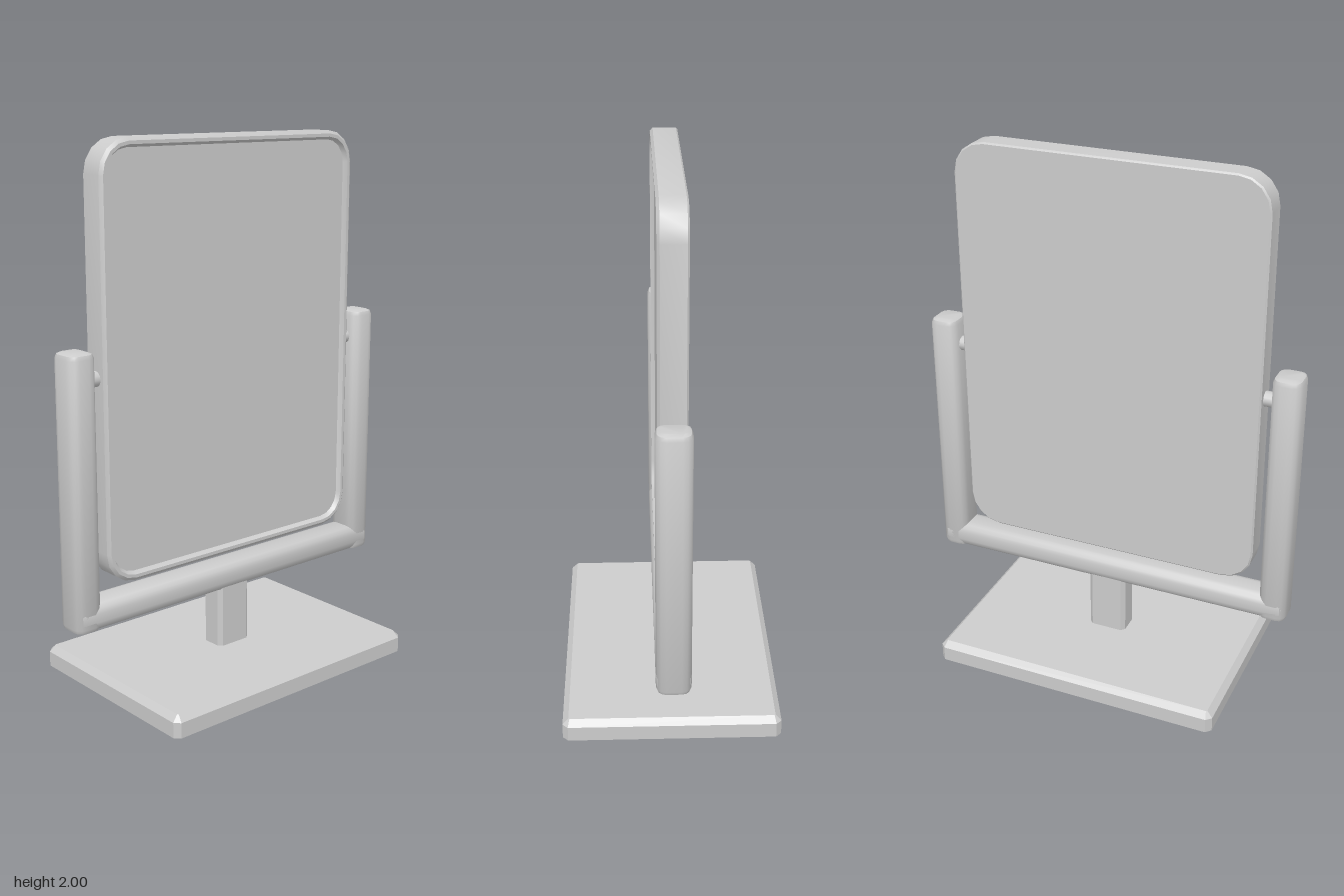
import * as THREE from 'three';
import { toCreasedNormals } from 'three/addons/utils/BufferGeometryUtils.js';

// Rounded rectangle cross-section at depth z, counter-clockwise
function ring(w, h, r, z, n) {
  const pts = [];
  [[1, 1], [-1, 1], [-1, -1], [1, -1]].forEach(([sx, sy], corner) => {
    for (let i = 0; i <= n; i++) {
      const a = (corner + i / n) * Math.PI / 2;
      pts.push([sx * (w / 2 - r) + r * Math.cos(a), sy * (h / 2 - r) + r * Math.sin(a), z]);
    }
  });
  return pts;
}

// Skin through cross-sections of increasing depth, with optional flat ends
function loft(rings, capStart, capEnd, crease = 0.45) {
  const n = rings[0].length, index = [];
  for (let k = 0; k < rings.length - 1; k++) {
    for (let i = 0; i < n; i++) {
      const a = k * n + i, b = k * n + (i + 1) % n;
      index.push(a, b, b + n, a, b + n, a + n);
    }
  }
  const last = (rings.length - 1) * n;
  for (let i = 1; i < n - 1; i++) {
    if (capStart) index.push(0, i + 1, i);
    if (capEnd) index.push(last, last + i, last + i + 1);
  }
  const g = new THREE.BufferGeometry();
  g.setAttribute('position', new THREE.Float32BufferAttribute(rings.flat(2), 3));
  g.setIndex(index);
  return toCreasedNormals(g, crease);
}

// Bar with softened long edges and bevelled ends
function softBar(w, h, from, to) {
  const r = 0.035, b = 0.02;
  return loft([
    ring(w - 2 * b, h - 2 * b, r - b, from, 3),
    ring(w - 0.012, h - 0.012, r - 0.006, from + 0.006, 3),
    ring(w, h, r, from + b, 3),
    ring(w, h, r, to - b, 3),
    ring(w - 0.012, h - 0.012, r - 0.006, to - 0.006, 3),
    ring(w - 2 * b, h - 2 * b, r - b, to, 3),
  ], true, true, 0.7);
}

export function createModel() {
  const model = new THREE.Group();
  model.name = 'tableMirror';
  const silver = new THREE.MeshStandardMaterial({ color: 0xcccccc, side: THREE.DoubleSide });
  silver.name = 'silver';
  const add = (name, geometry) => {
    const mesh = new THREE.Mesh(geometry, silver);
    mesh.name = name;
    model.add(mesh);
    return mesh;
  };
  const upright = (g) => g.rotateX(-Math.PI / 2);

  // Hollow base, open underneath, with a hole where the post meets it
  add('base', upright(loft([
    ring(1.13, 0.8, 0.02, 0, 1),
    ring(1.13, 0.8, 0.02, 0.057, 1),
    ring(1.086, 0.756, 0.004, 0.08, 1),
    ring(0.15, 0.1, 0.015, 0.08, 1),
  ], false, false)));

  // Hollow post
  add('post', upright(loft([
    ring(0.15, 0.1, 0.015, 0.08, 1),
    ring(0.15, 0.1, 0.015, 0.32, 1),
  ], false, false)));

  // Yoke: cross bar, two arms and the pivots
  add('crossBar', softBar(0.124, 0.102, -0.715, 0.715).rotateY(Math.PI / 2)).position.y = 0.357;
  for (const [side, s] of [['left', 1], ['right', -1]]) {
    add(side + 'Arm', upright(softBar(0.108, 0.124, 0.305, 1.3))).position.x = s * 0.671;
    const pivot = new THREE.CylinderGeometry(0.028, 0.028, 0.09, 12).rotateZ(Math.PI / 2);
    add(side + 'Pivot', pivot).position.set(s * 0.605, 1.195, 0);
  }

  // Mirror frame: flat back, raised front rim, sloping inner lip
  const section = (inset, z) => ring(1.17 - 2 * inset, 1.55 - 2 * inset, 0.12 - inset, z, 4);
  add('mirrorFrame', loft([
    section(0.006, -0.05), section(0, -0.044), section(0, 0.042),
    section(0.012, 0.052), section(0.024, 0.052), section(0.034, 0.036),
  ], true, false)).position.y = 1.225;

  // Recessed glass
  add('glass', loft([section(0.034, 0.035), section(0.034, 0.036)], false, true)).position.y = 1.225;

  return model;
}
